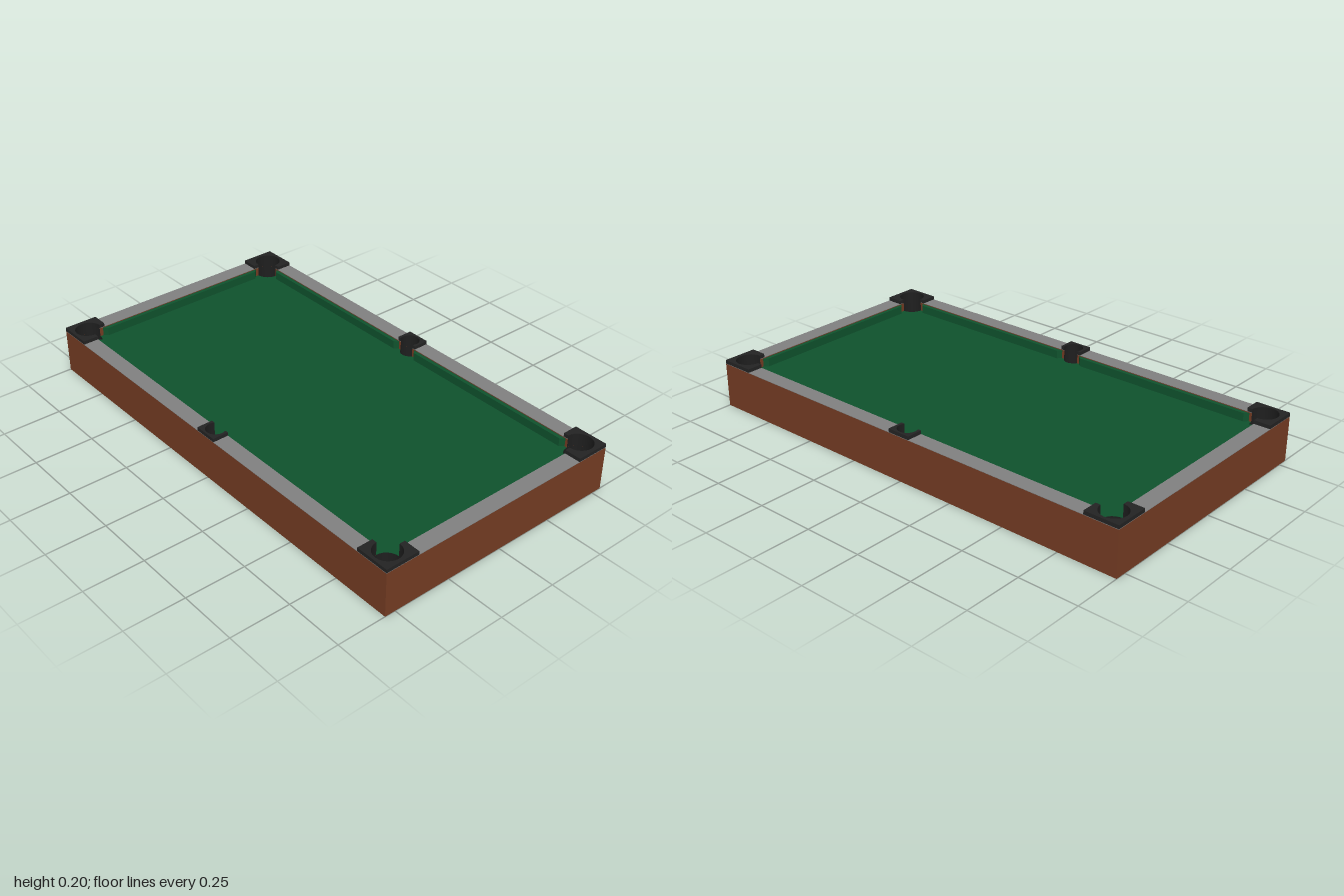
import * as THREE from 'three';

const HX = 1, HZ = 0.545;            // outer half size
const IX = 0.93, IZ = 0.478;         // inner edge of the rails
const FLOOR = 0.08, BED = 0.15, RAIL = 0.19, CAP = 0.205;

// Pockets in order round the table; half = half angle of the arc cut into the rail
const corner = (sx, sz) => ({
  sx, sz, x: sx * IX, z: sz * IZ, r: 0.055,
  phi: Math.atan2(sx, sz), half: 0.75 * Math.PI,
});
const SIDE_R = 0.04, SIDE_Z = 0.497;
const side = (sz) => ({
  sx: 0, sz, x: 0, z: sz * SIDE_Z, r: SIDE_R, phi: sz > 0 ? 0 : -Math.PI,
  half: Math.PI - Math.acos((SIDE_Z - IZ) / SIDE_R),
});
const POCKETS = [corner(1, 1), side(1), corner(-1, 1), corner(-1, -1), side(-1), corner(1, -1)];

// Points of a pocket arc, from angle a to angle b
function arc(p, a, b, n = 18) {
  return Array.from({ length: n + 1 }, (_, i) => {
    const t = a + ((b - a) * i) / n;
    return new THREE.Vector2(p.x + p.r * Math.sin(t), p.z + p.r * Math.cos(t));
  });
}
const railArc = (p) => arc(p, p.phi + p.half, p.phi - p.half);
const bedArc = (p) => arc(p, p.phi + p.half, p.phi + 2 * Math.PI - p.half);

// Horizontal slab from a plan outline in x and z
function slab(shape, bottom, top) {
  const g = new THREE.ExtrudeGeometry(shape, { depth: top - bottom, bevelEnabled: false });
  return g.rotateX(Math.PI / 2).translate(0, top, 0);
}
const plan = (pts) => new THREE.Shape(pts.map(([x, z]) => new THREE.Vector2(x, z)));

export function createModel() {
  const table = new THREE.Group();
  table.name = 'poolTable';
  const material = (name, color, extra = {}) => {
    const m = new THREE.MeshStandardMaterial({ color, ...extra });
    m.name = name;
    return m;
  };
  const wood = material('brownWood', 0x743c23);
  const felt = material('greenFelt', 0x0f522d);
  const grey = material('greyRail', 0x808080);
  const black = material('blackPlastic', 0x232323);
  const lining = material('pocketLining', 0x1e1e1e, { side: THREE.DoubleSide });
  const add = (name, geometry, mat) => {
    const m = new THREE.Mesh(geometry, mat);
    m.name = name;
    table.add(m);
    return m;
  };

  // Wooden base and frame with grey rail tops
  add('base', new THREE.BoxGeometry(2 * HX, FLOOR, 2 * HZ).translate(0, FLOOR / 2, 0), wood);
  const ring = plan([[HX, HZ], [-HX, HZ], [-HX, -HZ], [HX, -HZ]]);
  ring.holes.push(new THREE.Path(POCKETS.flatMap(railArc)));
  add('frame', slab(ring, FLOOR, RAIL - 0.002), wood);
  add('railTop', slab(ring, RAIL - 0.002, RAIL), grey);

  // Playing surface with pocket cut-outs
  add('bed', slab(new THREE.Shape(POCKETS.flatMap(bedArc)), FLOOR, BED), felt);

  // Cushions with angled ends
  const nose = 0.016;
  for (const s of [1, -1]) {
    const e = IZ - 0.07;
    add('endCushion', slab(plan([
      [s * IX, -e], [s * IX, e], [s * (IX - nose), e - nose], [s * (IX - nose), -e + nose],
    ]), BED, RAIL - 0.005), felt);
    for (const t of [1, -1]) {
      add('sideCushion', slab(plan([
        [t * 0.045, s * IZ], [t * 0.865, s * IZ],
        [t * (0.865 - nose), s * (IZ - nose)], [t * (0.045 + nose), s * (IZ - nose)],
      ]), BED, RAIL - 0.005), felt);
    }
  }

  // Pockets: raised cap, lining and floor
  for (const p of POCKETS) {
    const { sx, sz } = p;
    const cut = railArc(p).map((v) => [v.x, v.y]);
    let outline;
    if (sx) {
      // The arc starts on the end rail for one diagonal and on the side rail for the other
      const endRail = [[sx * HX, sz * 0.4], [sx * IX, sz * 0.4]];
      const sideRail = [[sx * 0.855, sz * IZ], [sx * 0.855, sz * HZ]];
      const path = sx * sz > 0 ? cut : cut.reverse();
      outline = [...endRail, ...path, ...sideRail, [sx * HX, sz * HZ]];
    } else {
      outline = [[sz * 0.05, sz * HZ], [sz * 0.05, sz * IZ], ...cut,
        [-sz * 0.05, sz * IZ], [-sz * 0.05, sz * HZ]];
    }
    add(sx ? 'cornerCap' : 'sideCap', slab(plan(outline), RAIL, CAP), black);

    const r = p.r - 0.001;
    const wall = (bottom, top, start, length) =>
      new THREE.CylinderGeometry(r, r, top - bottom, 24, 1, true, start, length)
        .translate(p.x, (top + bottom) / 2, p.z);
    add('pocketCup', wall(FLOOR, BED, 0, 2 * Math.PI), lining);
    add('pocketBack', wall(BED, CAP - 0.001, p.phi - p.half, 2 * p.half), lining);
    add('pocketFloor', new THREE.CircleGeometry(r, 24).rotateX(-Math.PI / 2)
      .translate(p.x, FLOOR + 0.002, p.z), lining);
  }
  return table;
}
